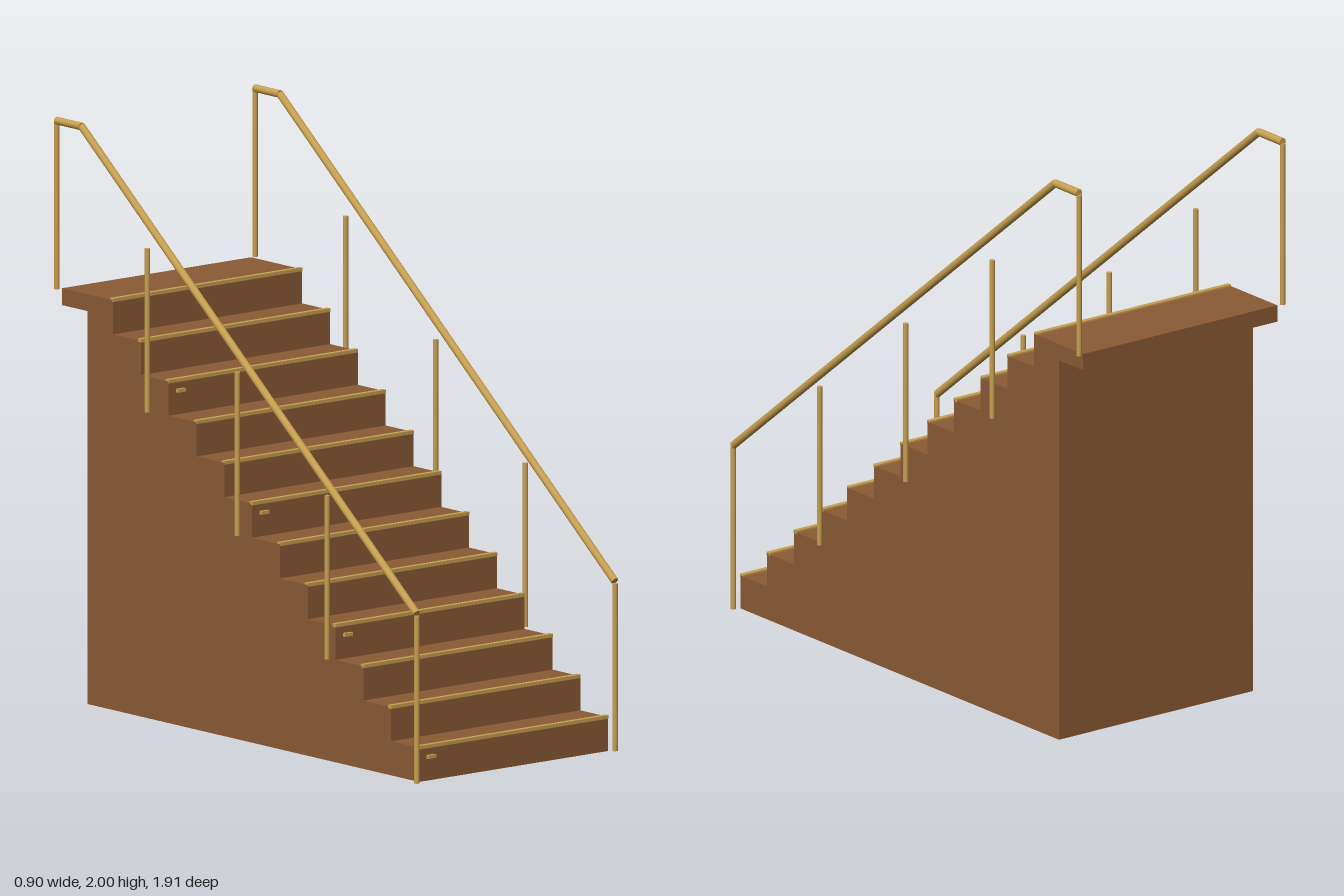
import * as THREE from 'three';

const STEPS = 12, RISE = 1.408 / STEPS, RUN = 0.1462, FRONT = 0.934;
const WIDTH = 0.83, BACK = -0.81, LANDING_BACK = -0.943, RAIL_X = 0.435;

export function createModel() {
  const model = new THREE.Group();
  const wood = new THREE.MeshStandardMaterial({ color: 0x8b5a35 });
  const brass = new THREE.MeshStandardMaterial({ color: 0xc8a050 });

  const add = (parent, name, geometry, material, x = 0, y = 0, z = 0) => {
    const mesh = new THREE.Mesh(geometry, material);
    mesh.name = name;
    mesh.position.set(x, y, z);
    parent.add(mesh);
    return mesh;
  };

  // Round bar between two points
  const bar = (parent, name, a, b, radius) => {
    const start = new THREE.Vector3(...a), end = new THREE.Vector3(...b);
    const dir = end.clone().sub(start);
    const mesh = add(parent, name, new THREE.CylinderGeometry(radius, radius, dir.length(), 12), brass);
    mesh.position.copy(start).add(end).multiplyScalar(0.5);
    mesh.quaternion.setFromUnitVectors(new THREE.Vector3(0, 1, 0), dir.normalize());
  };

  // Stepped body with overhanging landing, drawn from the side as (-z, y)
  const side = new THREE.Shape();
  side.moveTo(-FRONT, 0);
  side.lineTo(-BACK, 0);
  side.lineTo(-BACK, 1.35);
  side.lineTo(-LANDING_BACK, 1.35);
  side.lineTo(-LANDING_BACK, STEPS * RISE);
  for (let i = STEPS - 1; i >= 0; i--) {
    side.lineTo(-FRONT + i * RUN, (i + 1) * RISE);
    if (i > 0) side.lineTo(-FRONT + i * RUN, i * RISE);
  }
  const bodyGeometry = new THREE.ExtrudeGeometry(side, { depth: WIDTH, bevelEnabled: false });
  bodyGeometry.translate(0, 0, -WIDTH / 2).rotateY(Math.PI / 2);
  add(model, 'stairBody', bodyGeometry, wood);

  // Nosing strip on every tread, small light on every third riser
  for (let i = 0; i < STEPS; i++) {
    const z = FRONT - i * RUN, top = (i + 1) * RISE;
    add(model, 'nosing', new THREE.BoxGeometry(WIDTH, 0.012, 0.018), brass, 0, top, z - 0.007);
    if (i % 3 === 0) {
      add(model, 'stepLight', new THREE.BoxGeometry(0.034, 0.012, 0.014), brass, -0.366, top - 0.035, z + 0.005);
    }
  }

  // Handrail and posts on each side
  for (const s of [1, -1]) {
    const rail = new THREE.Group();
    rail.name = s > 0 ? 'leftRailing' : 'rightRailing';
    const x = s * RAIL_X;
    bar(rail, 'handrail', [x, 0.583, 0.945], [x, 1.986, -0.815], 0.0135);
    bar(rail, 'handrailEnd', [x, 1.986, -0.815], [x, 1.986, -0.946], 0.0135);
    const posts = [
      [0.947, 0, 0.575], [0.475, 0.354, 0.917], [0.003, 0.706, 1.268],
      [-0.47, 1.058, 1.62], [-0.946, 1.408, 1.98],
    ];
    for (const [z, low, high] of posts) bar(rail, 'post', [x, low, z], [x, high, z], 0.0095);
    model.add(rail);
  }
  return model;
}
